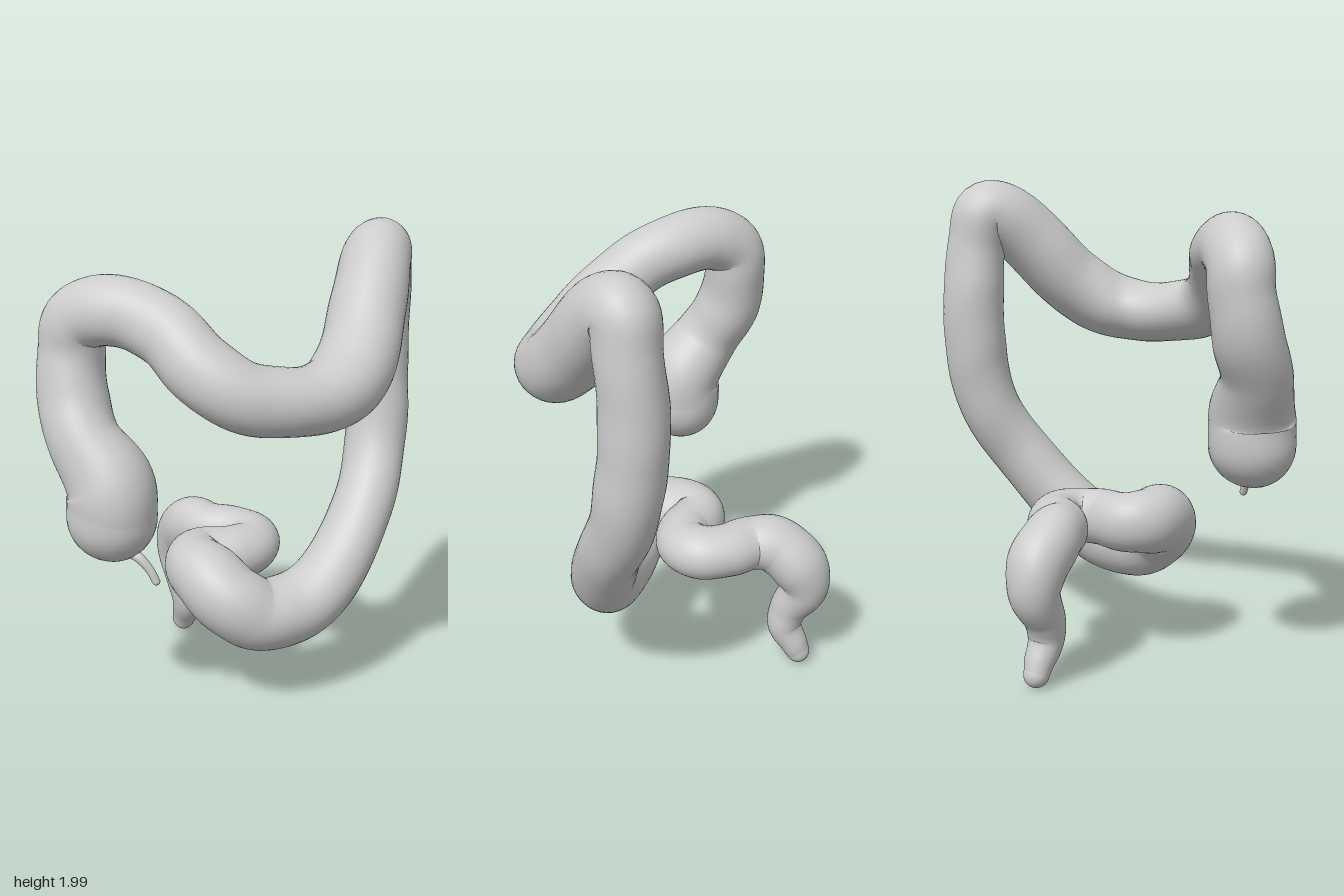
import * as THREE from 'three';

const SIDES = 36;

// Stations along the bowel, each [x, y, z, radius, sideways widening (1 if left out)]
const SECTIONS = {
  cecum: [[-0.605, 0.94, 0.147, 0.178], [-0.605, 1.07, 0.137, 0.175]],
  ascendingColon: [[-0.667, 1.23, 0.04, 0.144], [-0.675, 1.38, -0.05, 0.141], [-0.66, 1.54, -0.085, 0.132], [-0.645, 1.66, -0.075, 0.132]],
  transverseColon: [
    [-0.58, 1.725, 0.005, 0.135], [-0.475, 1.72, 0.125, 0.134], [-0.395, 1.665, 0.255, 0.132], [-0.33, 1.56, 0.385, 0.134, 1.04],
    [-0.21, 1.465, 0.47, 0.135, 1.1], [-0.04, 1.425, 0.495, 0.131, 1.18], [0.12, 1.42, 0.492, 0.133, 1.18], [0.265, 1.455, 0.437, 0.146, 1.12],
    [0.385, 1.55, 0.342, 0.15, 1.06], [0.485, 1.695, 0.235, 0.148, 1.04], [0.58, 1.825, 0.128, 0.145],
  ],
  descendingColon: [
    [0.65, 1.847, 0.048, 0.135], [0.678, 1.72, 0.028, 0.126], [0.685, 1.53, 0.008, 0.131], [0.685, 1.34, 0.01, 0.133],
    [0.68, 1.17, 0.032, 0.133], [0.645, 0.99, 0.072, 0.13],
  ],
  sigmoidColon: [
    [0.555, 0.81, 0.152, 0.13], [0.435, 0.65, 0.212, 0.134], [0.3, 0.51, 0.255, 0.142], [0.14, 0.433, 0.268, 0.15],
    [-0.01, 0.433, 0.262, 0.152], [-0.12, 0.5, 0.232, 0.152], [-0.18, 0.575, 0.14, 0.148], [-0.185, 0.595, 0.015, 0.135],
    [-0.125, 0.595, -0.045, 0.123], [0.0, 0.595, -0.02, 0.118], [0.1, 0.595, -0.04, 0.114],
    [0.15, 0.6, -0.13, 0.113], [0.105, 0.6, -0.23, 0.113], [0.03, 0.6, -0.31, 0.115],
  ],
  rectum: [
    [0.0, 0.59, -0.41, 0.122], [0.0, 0.51, -0.51, 0.124], [-0.005, 0.4, -0.545, 0.105],
    [-0.01, 0.28, -0.485, 0.084], [-0.005, 0.19, -0.465, 0.074], [0.0, 0.11, -0.505, 0.062], [0.0, 0.06, -0.53, 0.052],
  ],
};

// Rings along a smooth path with varying radius and rounded ends
function makeRings(stations, steps) {
  const path = new THREE.CatmullRomCurve3(stations.map(s => new THREE.Vector3(s[0], s[1], s[2])), false, 'catmullrom');
  const girth = new THREE.CatmullRomCurve3(stations.map(s => new THREE.Vector3(s[3], s[4] ?? 1, 0)), false, 'catmullrom');
  const count = (stations.length - 1) * steps;
  const rings = [];
  const normal = new THREE.Vector3(0, 0, 1);
  for (let i = 0; i <= count; i++) {
    const t = i / count;
    const tangent = path.getTangent(t);
    const size = girth.getPoint(t);
    normal.addScaledVector(tangent, -normal.dot(tangent)).normalize();
    rings.push({
      center: path.getPoint(t), radius: size.x, widen: size.y, tangent, station: i / steps,
      normal: normal.clone(), binormal: tangent.clone().cross(normal),
      sideways: new THREE.Vector3(tangent.z, 0, -tangent.x).normalize(),
    });
  }
  const dome = (ring, sign) => {
    const list = [];
    for (let k = 1; k <= 10; k++) {
      const a = (k / 10) * Math.PI / 2;
      list.push({
        ...ring, radius: Math.max(ring.radius * Math.cos(a), 0.0005),
        center: ring.center.clone().addScaledVector(ring.tangent, sign * ring.radius * Math.sin(a)),
      });
    }
    return list;
  };
  return [...dome(rings[0], -1).reverse(), ...rings, ...dome(rings[count], 1)];
}

// Closed skin over the rings; ridge gives three faint lengthwise bands
function skin(rings, ridge) {
  const pos = [], index = [];
  for (const r of rings) {
    for (let j = 0; j < SIDES; j++) {
      const a = (j / SIDES) * Math.PI * 2;
      const d = r.radius * (1 + ridge * Math.cos(3 * a) + ridge * 0.5 * Math.sin(r.station * 4.3 + 2 * Math.sin(a)));
      const p = r.normal.clone().multiplyScalar(d * Math.cos(a)).addScaledVector(r.binormal, d * Math.sin(a));
      p.addScaledVector(r.sideways, p.dot(r.sideways) * (r.widen - 1)).add(r.center);
      pos.push(p.x, p.y, p.z);
    }
  }
  for (let i = 0; i < rings.length - 1; i++) {
    for (let j = 0; j < SIDES; j++) {
      const k = (j + 1) % SIDES;
      const a = i * SIDES + j, b = i * SIDES + k, c = a + SIDES, d = b + SIDES;
      index.push(a, b, c, b, d, c);
    }
  }
  const geo = new THREE.BufferGeometry();
  geo.setAttribute('position', new THREE.Float32BufferAttribute(pos, 3));
  geo.setIndex(index);
  geo.computeVertexNormals();
  return geo;
}

// Cut a run of rings out of the skin, keeping its smooth normals
function cut(geo, from, to) {
  const part = new THREE.BufferGeometry();
  for (const name of ['position', 'normal']) {
    const data = geo.attributes[name].array.slice(from * SIDES * 3, (to + 1) * SIDES * 3);
    part.setAttribute(name, new THREE.BufferAttribute(data, 3));
  }
  const idx = Array.from(geo.index.array.slice(from * SIDES * 6, to * SIDES * 6), v => v - from * SIDES);
  part.setIndex(idx);
  return part;
}

export function createModel() {
  const group = new THREE.Group();
  group.name = 'largeIntestine';
  const tissue = new THREE.MeshStandardMaterial({ color: 0xcccccc });
  tissue.name = 'tissueGrey';
  const add = (name, geo) => {
    const mesh = new THREE.Mesh(geo, tissue);
    mesh.name = name;
    group.add(mesh);
  };

  // Continuous bowel, divided into its named lengths
  const steps = 8;
  const rings = makeRings(Object.values(SECTIONS).flat(), steps);
  const bowel = skin(rings, 0.02);
  const names = Object.keys(SECTIONS);
  let from = 0, station = 0;
  names.forEach((name, i) => {
    station += SECTIONS[name].length;
    const to = i === names.length - 1 ? rings.length - 1 : 10 + station * steps;
    add(name, cut(bowel, from, to));
    from = to;
  });

  // Thin worm-like appendix under the cecum
  add('appendix', skin(makeRings([
    [-0.57, 0.815, 0.22, 0.024], [-0.54, 0.79, 0.26, 0.02], [-0.51, 0.745, 0.285, 0.017], [-0.492, 0.7, 0.3, 0.016],
  ], 6), 0));

  return group;
}
